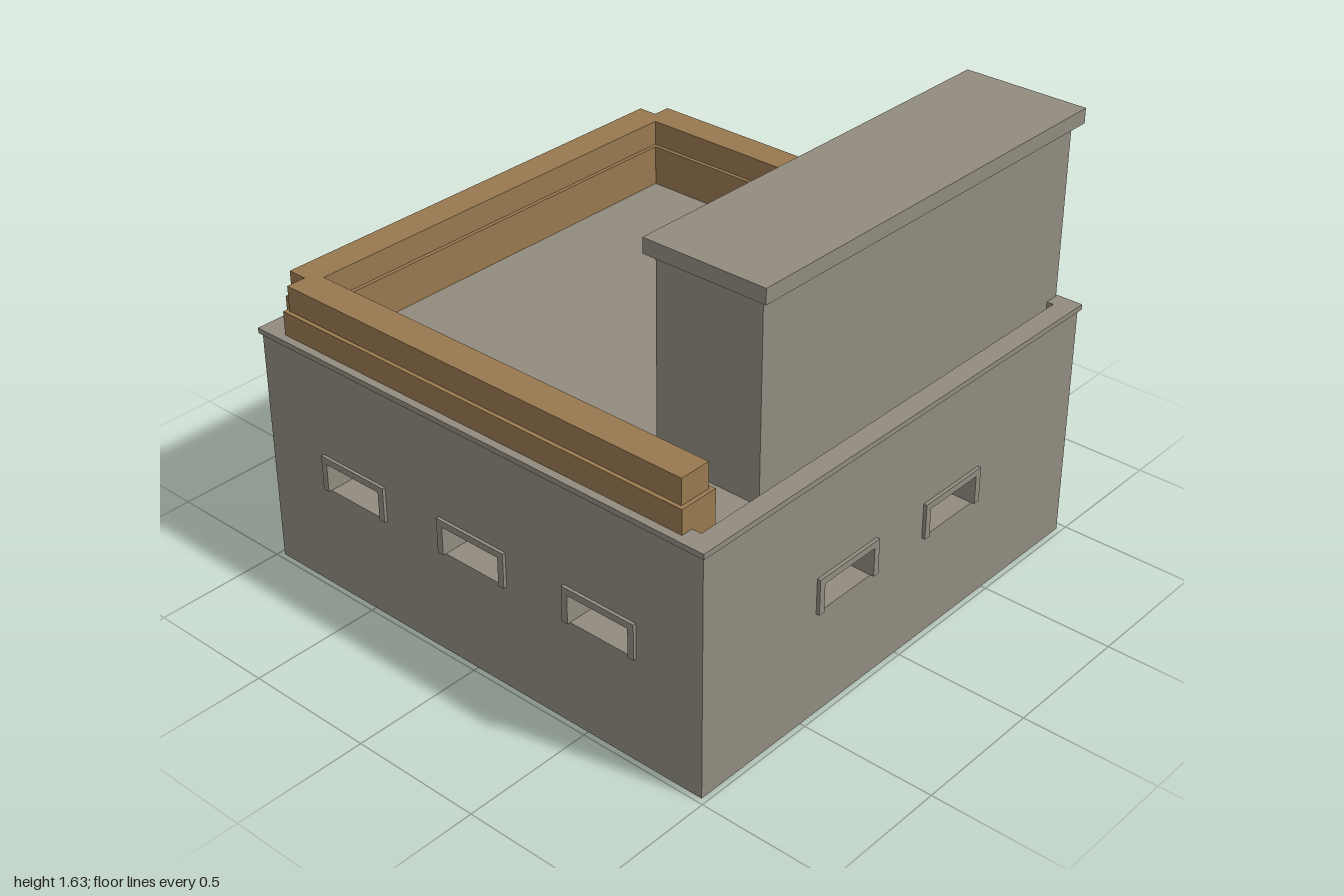
import * as THREE from 'three';

export function createModel() {
  const model = new THREE.Group();
  model.name = 'bunkerHouse';

  const concrete = new THREE.MeshStandardMaterial({ color: 0x918b7f });
  concrete.name = 'concrete';
  const wood = new THREE.MeshStandardMaterial({ color: 0x987850 });
  wood.name = 'wood';

  const add = (name, geometry, material = concrete) => {
    const mesh = new THREE.Mesh(geometry, material);
    mesh.name = name;
    model.add(mesh);
  };

  // Box given by its limits on each axis
  const box = (name, [x0, x1], [y0, y1], [z0, z1], material) => {
    const g = new THREE.BoxGeometry(x1 - x0, y1 - y0, z1 - z0);
    g.translate((x0 + x1) / 2, (y0 + y1) / 2, (z0 + z1) / 2);
    add(name, g, material);
  };

  const rect = (Type, a0, a1, b0, b1) => {
    const p = new Type();
    p.moveTo(a0, b0).lineTo(a1, b0).lineTo(a1, b1).lineTo(a0, b1).closePath();
    return p;
  };

  // Upright plate; along z it is turned so depth d becomes x = -d
  const upright = (name, shape, [d0, d1], alongZ) => {
    const g = new THREE.ExtrudeGeometry(shape, { depth: d1 - d0, bevelEnabled: false });
    g.translate(0, 0, d0);
    if (alongZ) g.rotateY(-Math.PI / 2);
    add(name, g);
  };

  // Upright plate with rectangular holes
  const panel = (name, limits, holes, depth, alongZ = false) => {
    const shape = rect(THREE.Shape, ...limits);
    holes.forEach(h => shape.holes.push(rect(THREE.Path, ...h)));
    upright(name, shape, depth, alongZ);
  };

  // Three-sided surround, open at the bottom
  const surround = (name, [a0, a1, b0, b1], depth, alongZ = false) => {
    const t = 0.025, s = new THREE.Shape();
    s.moveTo(a0 - t, b0).lineTo(a0, b0).lineTo(a0, b1).lineTo(a1, b1)
      .lineTo(a1, b0).lineTo(a1 + t, b0).lineTo(a1 + t, b1 + t).lineTo(a0 - t, b1 + t).closePath();
    upright(name, s, depth, alongZ);
  };

  // Flat plate lying between two heights; its shape uses -z as the second axis
  const flat = (name, shape, [y0, y1], material) => {
    const g = new THREE.ExtrudeGeometry(shape, { depth: y1 - y0, bevelEnabled: false });
    g.rotateX(-Math.PI / 2);
    g.translate(0, y0, 0);
    add(name, g, material);
  };

  // Rectangular flat plate with one rectangular hole
  const slab = (name, [x0, x1, z0, z1], [hx0, hx1, hz0, hz1], heights) => {
    const shape = rect(THREE.Shape, x0, x1, -z1, -z0);
    shape.holes.push(rect(THREE.Path, hx0, hx1, -hz1, -hz0));
    flat(name, shape, heights);
  };

  const windowAt = c => [c - 0.127, c + 0.127, 0.4, 0.51];
  const door = [-0.635, -0.265, 0.06, 0.705];
  const frontHoles = [-0.56, 0, 0.56].map(windowAt);
  const backHoles = [door, windowAt(0), windowAt(0.56)];
  const sideHoles = [-0.272, 0.284].map(windowAt);
  const deckTop = 0.86, wallTop = 0.855;

  // Outer walls with openings
  panel('frontWall', [-0.98, 0.98, 0, wallTop], frontHoles, [0.85, 0.98]);
  panel('backWall', [-0.98, 0.98, 0, wallTop], backHoles, [-0.97, -0.84]);
  panel('rightWall', [-0.84, 0.85, 0, wallTop], sideHoles, [0.85, 0.98], true);
  panel('leftWall', [-0.84, 0.85, 0, wallTop], sideHoles, [-0.98, -0.85], true);

  // Raised surrounds
  frontHoles.forEach(h => surround('frontWindowFrame', h, [0.98, 0.992]));
  backHoles.forEach(h => surround(h === door ? 'doorFrame' : 'backWindowFrame', h, [-0.985, -0.97]));
  sideHoles.forEach(h => {
    surround('rightWindowFrame', h, [0.98, 0.993], true);
    surround('leftWindowFrame', h, [-0.993, -0.98], true);
  });

  // Ground slab and wooden floor
  box('groundSlab', [-0.85, 0.85], [0, 0.052], [-0.84, 0.85]);
  box('floorBoards', [-0.85, 0.85], [0.052, 0.06], [-0.84, 0.85], wood);

  // Sunken roof deck with stair opening, inside a low edge wall and overhanging rim
  const stairwell = [0.53, 0.835, -0.503, 0.565];
  const deck = [-0.915, 0.915, -0.915, 0.915];
  slab('roof', [-0.85, 0.85, -0.84, 0.85], stairwell, [0.8, wallTop]);
  slab('roofDeck', deck, stairwell, [wallTop, deckTop]);
  slab('roofEdgeWall', [-0.98, 0.98, -0.97, 0.98], deck, [wallTop, 0.905]);
  slab('roofRim', [-0.99, 0.99, -0.98, 0.99], deck, [0.905, 0.925]);

  // Stair house with a doorway onto the roof
  const houseTop = 1.575;
  panel('stairHouseInnerWall', [-0.57, 0.565, deckTop, houseTop], [], [-0.53, -0.475], true);
  panel('stairHouseLintel', [-0.915, -0.57, 1.49, houseTop], [], [-0.53, -0.475], true);
  box('stairHouseOuterWall', [0.835, 0.89], [deckTop, houseTop], [-0.915, 0.565]);
  box('stairHouseBackWall', [0.475, 0.89], [0.925, houseTop], [-0.97, -0.915]);
  box('stairHouseFrontWall', [0.475, 0.89], [deckTop, houseTop], [0.565, 0.62]);
  box('stairHouseCap', [0.445, 0.92], [houseTop, 1.63], [-1, 0.645]);

  // Stairs climbing toward the back
  const steps = 17, rise = 0.83 / steps, run = 1.068 / steps;
  for (let i = 0; i < steps; i++) {
    const top = 0.03 + rise * (i + 1);
    const z = 0.565 - run * i;
    box('stairStep', [0.53, 0.835], [Math.max(0.055, top - 0.131), top], [z - run, z]);
  }

  // Two-tier wooden parapet with notched corners, the upper tier slightly narrower
  [['lowerParapet', 0, deckTop, 1.015], ['upperParapet', 0.015, 1.015, 1.11]].forEach(([name, inset, y0, y1]) => {
    const shrink = (a, b) => [a + inset, b - inset];
    const [l0, l1] = shrink(-0.96, -0.81);
    const [f0, f1] = shrink(0.81, 0.96);
    const [b0, b1] = shrink(-0.955, -0.805);
    const [fx0, fx1] = shrink(-0.885, 0.88);
    const [lz0, lz1] = shrink(-0.885, 0.885);
    const bx1 = -0.145 - inset;
    const points = [
      [l0, lz0], [fx0, lz0], [fx0, b0], [bx1, b0], [bx1, b1], [l1, b1],
      [l1, f0], [fx1, f0], [fx1, f1], [fx0, f1], [fx0, lz1], [l0, lz1],
    ];
    flat(name, new THREE.Shape(points.map(([x, z]) => new THREE.Vector2(x, -z))), [y0, y1], wood);
  });

  return model;
}
